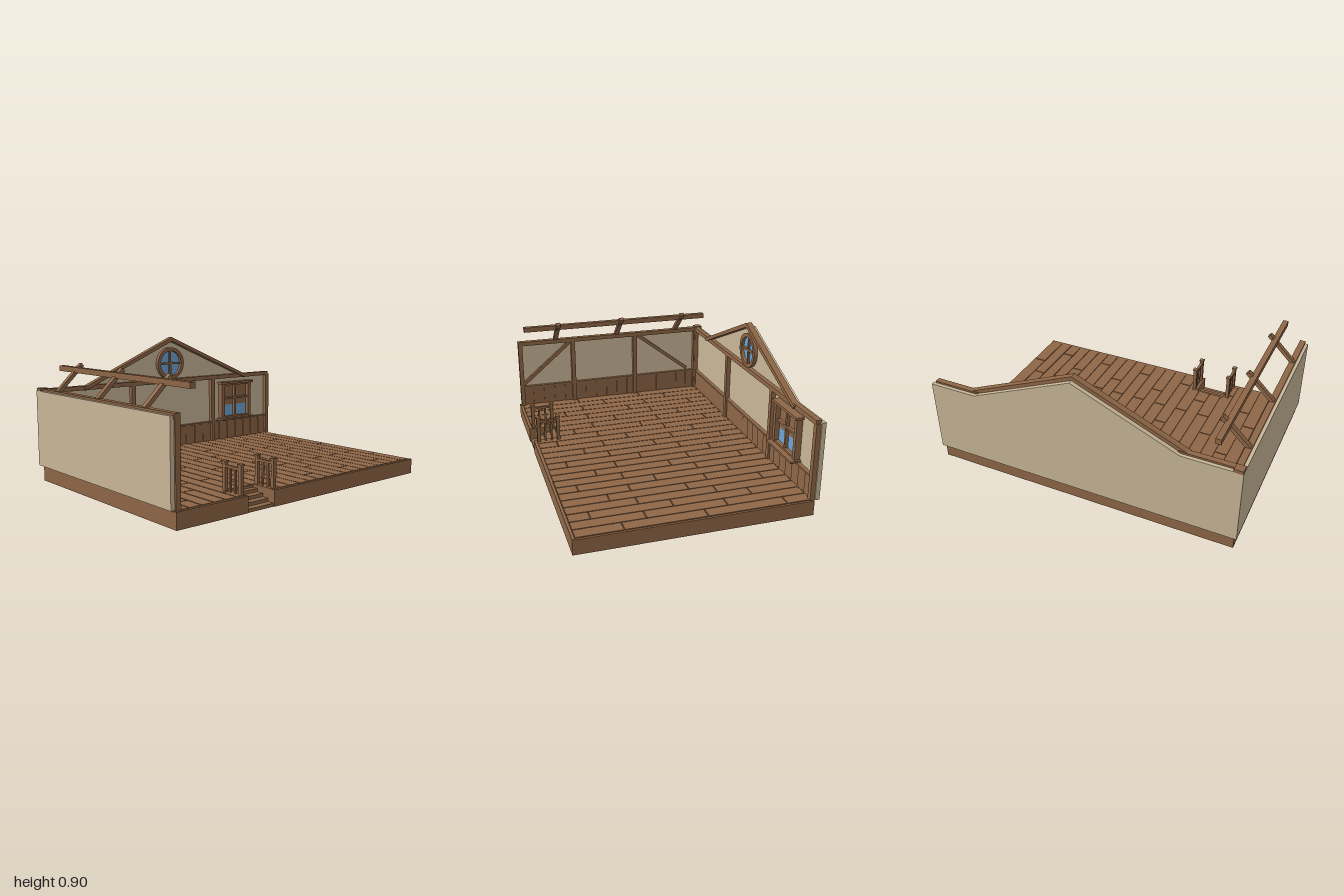
import * as THREE from 'three';

const wood = new THREE.MeshStandardMaterial({ color: 0x8e6646 });
wood.name = 'wood';
const plaster = new THREE.MeshStandardMaterial({ color: 0xc9b798 });
plaster.name = 'plaster';
const glass = new THREE.MeshStandardMaterial({ color: 0x6fa5d6 });
glass.name = 'glass';

export function createModel() {
  const model = new THREE.Group();
  model.name = 'timberRoom';

  const add = (name, geo, mat = wood) => {
    const mesh = new THREE.Mesh(geo, mat);
    mesh.name = name;
    model.add(mesh);
    return mesh;
  };
  // Box given by its limits on each axis
  const box = (name, x0, x1, y0, y1, z0, z1, mat) => {
    const m = add(name, new THREE.BoxGeometry(x1 - x0, y1 - y0, z1 - z0), mat);
    m.position.set((x0 + x1) / 2, (y0 + y1) / 2, (z0 + z1) / 2);
    return m;
  };
  // Square beam running from point a to point b
  const beam = (name, a, b, width, depth) => {
    const p = new THREE.Vector3(...a), q = new THREE.Vector3(...b);
    const m = add(name, new THREE.BoxGeometry(width, depth, p.distanceTo(q)));
    m.position.copy(p).add(q).multiplyScalar(0.5);
    m.lookAt(q);
    return m;
  };
  const outline = pts => new THREE.Shape(pts.map(p => new THREE.Vector2(...p)));

  // Foundation with a notch for the stairs
  const baseShape = outline([[-0.98, -0.725], [-0.49, -0.725], [-0.49, -0.55], [-0.295, -0.55],
    [-0.295, -0.725], [0.995, -0.725], [0.995, 0.7], [-0.98, 0.7]]);
  add('foundation', new THREE.ExtrudeGeometry(baseShape, { depth: 0.093, bevelEnabled: false })
    .rotateX(-Math.PI / 2));

  // Stairs
  for (let i = 0; i < 4; i++) {
    box('step', -0.49, -0.295, 0, 0.02 * (i + 1), 0.55, 0.72 - i * 0.045);
  }

  // Floor planks in staggered columns, cut around the stairs
  const pitch = 0.0812, gap = 0.003, length = 0.484;
  const starts = [-0.385, -0.2, -0.535, -0.2];
  for (let c = -1; c < 24; c++) {
    const x0 = Math.max(-0.965, -0.883 + pitch * (c - 0) + gap);
    const x1 = Math.min(0.993, -0.883 + pitch * (c + 1) - gap);
    if (x1 - x0 < 0.01) continue;
    for (let z = starts[(c + 4) % 4] - length; z < 0.705; z += length) {
      const z0 = Math.max(-0.69, z + gap), z1 = Math.min(0.705, z + length - gap);
      if (z1 - z0 < 0.01) continue;
      const meetsStairs = z1 > 0.55 && x1 > -0.49 && x0 < -0.295;
      if (!meetsStairs) {
        box('floorPlank', x0, x1, 0.088, 0.099, z0, z1);
        continue;
      }
      if (z0 < 0.54) box('floorPlank', x0, x1, 0.088, 0.099, z0, 0.548);
      const front = Math.max(z0, 0.548);
      if (x0 < -0.495) box('floorPlank', x0, -0.49, 0.088, 0.099, front, z1);
      if (x1 > -0.29) box('floorPlank', -0.295, x1, 0.088, 0.099, front, z1);
    }
  }
  // Front edge boards
  box('edgeBoard', -0.98, -0.49, 0.088, 0.097, 0.708, 0.725);
  box('edgeBoard', -0.295, 0.995, 0.088, 0.097, 0.708, 0.725);

  // Plaster walls
  const gable = outline([[-1, 0.1], [1, 0.1], [1, 0.585], [0.69, 0.585],
    [0.025, 0.872], [-0.64, 0.585], [-1, 0.585]]);
  add('backWall', new THREE.ExtrudeGeometry(gable, { depth: 0.028, bevelEnabled: false }), plaster)
    .position.z = -0.727;
  box('leftWall', -1, -0.972, 0.1, 0.585, -0.7, 0.705, plaster);

  // Wainscot boards, each turned slightly so their edges overlap
  for (let i = 0; i < 24; i++) {
    const x = -0.93 + i * 0.081;
    box('backWainscot', x - 0.042, x + 0.042, 0.098, 0.238, -0.7, -0.684).rotation.y = 0.06;
  }
  for (let i = 0; i < 17; i++) {
    const z = -0.645 + i * 0.0815;
    box('leftWainscot', -0.975, -0.959, 0.098, 0.238, z - 0.042, z + 0.042).rotation.y = 0.06;
  }
  box('backWainscotRail', -0.97, 0.985, 0.235, 0.247, -0.7, -0.674);
  box('leftWainscotRail', -0.975, -0.949, 0.235, 0.247, -0.69, 0.705);

  // Posts and top beams
  for (const x of [-0.955, -0.3, 0.415, 0.978]) {
    box('backPost', x - 0.016, x + 0.016, 0.098, 0.575, -0.7, -0.67);
  }
  for (const z of [0.7, 0.305, -0.18, -0.675]) {
    box('leftPost', -0.975, -0.942, 0.098, 0.575, z - 0.015, z + 0.015);
  }
  box('backTopBeam', -0.98, 0.985, 0.568, 0.597, -0.705, -0.67);
  box('leftTopBeam', -0.98, -0.942, 0.568, 0.597, -0.7, 0.715);
  box('cornerCap', -0.998, -0.943, 0.58, 0.602, -0.727, -0.674);

  // Diagonal braces on the left wall
  beam('brace', [-0.96, 0.265, 0.685], [-0.96, 0.565, 0.33], 0.022, 0.024);
  beam('brace', [-0.96, 0.265, -0.605], [-0.96, 0.565, -0.21], 0.022, 0.024);

  // Gable rafters, with ends cut plumb at the ridge
  for (const s of [-1, 1]) {
    const rafter = outline([[0, 0.897], [s * 0.715, 0.588], [s * 0.705, 0.566], [0, 0.868]]);
    add('gableRafter', new THREE.ExtrudeGeometry(rafter, { depth: 0.04, bevelEnabled: false }))
      .position.set(0.025, 0, -0.7);
  }

  // Round window
  const ring = new THREE.Shape().absarc(0, 0, 0.115, 0, Math.PI * 2);
  ring.holes.push(new THREE.Path().absarc(0, 0, 0.09, 0, Math.PI * 2, true));
  add('roundWindowFrame', new THREE.ExtrudeGeometry(ring,
    { depth: 0.026, bevelEnabled: false, curveSegments: 16 })).position.set(0.025, 0.708, -0.7);
  add('roundWindowGlass', new THREE.CircleGeometry(0.095, 32), glass)
    .position.set(0.025, 0.708, -0.695);
  box('roundWindowBar', 0.018, 0.032, 0.615, 0.8, -0.697, -0.682);
  box('roundWindowBar', -0.068, 0.118, 0.701, 0.715, -0.697, -0.682);

  // Square window with a half-drawn blind
  box('windowGlass', 0.515, 0.77, 0.262, 0.36, -0.7, -0.692, glass);
  box('windowBlind', 0.515, 0.77, 0.36, 0.525, -0.7, -0.692);
  for (const x of [0.507, 0.777]) {
    box('windowJamb', x - 0.014, x + 0.014, 0.26, 0.528, -0.7, -0.66);
  }
  box('windowLowerFrame', 0.5, 0.785, 0.258, 0.274, -0.7, -0.665);
  box('windowUpperFrame', 0.5, 0.785, 0.512, 0.528, -0.7, -0.665);
  box('windowBar', 0.63, 0.646, 0.262, 0.52, -0.695, -0.672);
  box('windowBar', 0.515, 0.77, 0.405, 0.419, -0.695, -0.672);
  box('windowLintel', 0.48, 0.805, 0.524, 0.54, -0.7, -0.648);
  box('windowSill', 0.475, 0.805, 0.25, 0.262, -0.7, -0.63);

  // Stair railings
  for (const x of [-0.518, -0.272]) {
    for (const z of [0.56, 0.693]) {
      box('railPost', x - 0.011, x + 0.011, 0.095, 0.262, z - 0.011, z + 0.011);
      box('railPostCap', x - 0.015, x + 0.015, 0.261, 0.272, z - 0.015, z + 0.015);
    }
    for (const z of [0.605, 0.648]) {
      box('baluster', x - 0.006, x + 0.006, 0.095, 0.24, z - 0.006, z + 0.006);
    }
    box('handrail', x - 0.009, x + 0.009, 0.236, 0.25, 0.565, 0.69);
  }

  // Roof stubs leaning inwards and the purlin they carry
  for (const z of [0.435, -0.035, -0.507]) {
    beam('roofRafter', [-0.965, 0.59, z], [-0.795, 0.755, z], 0.032, 0.024);
  }
  box('purlin', -0.854, -0.819, 0.706, 0.74, -0.69, 0.68);

  return model;
}
